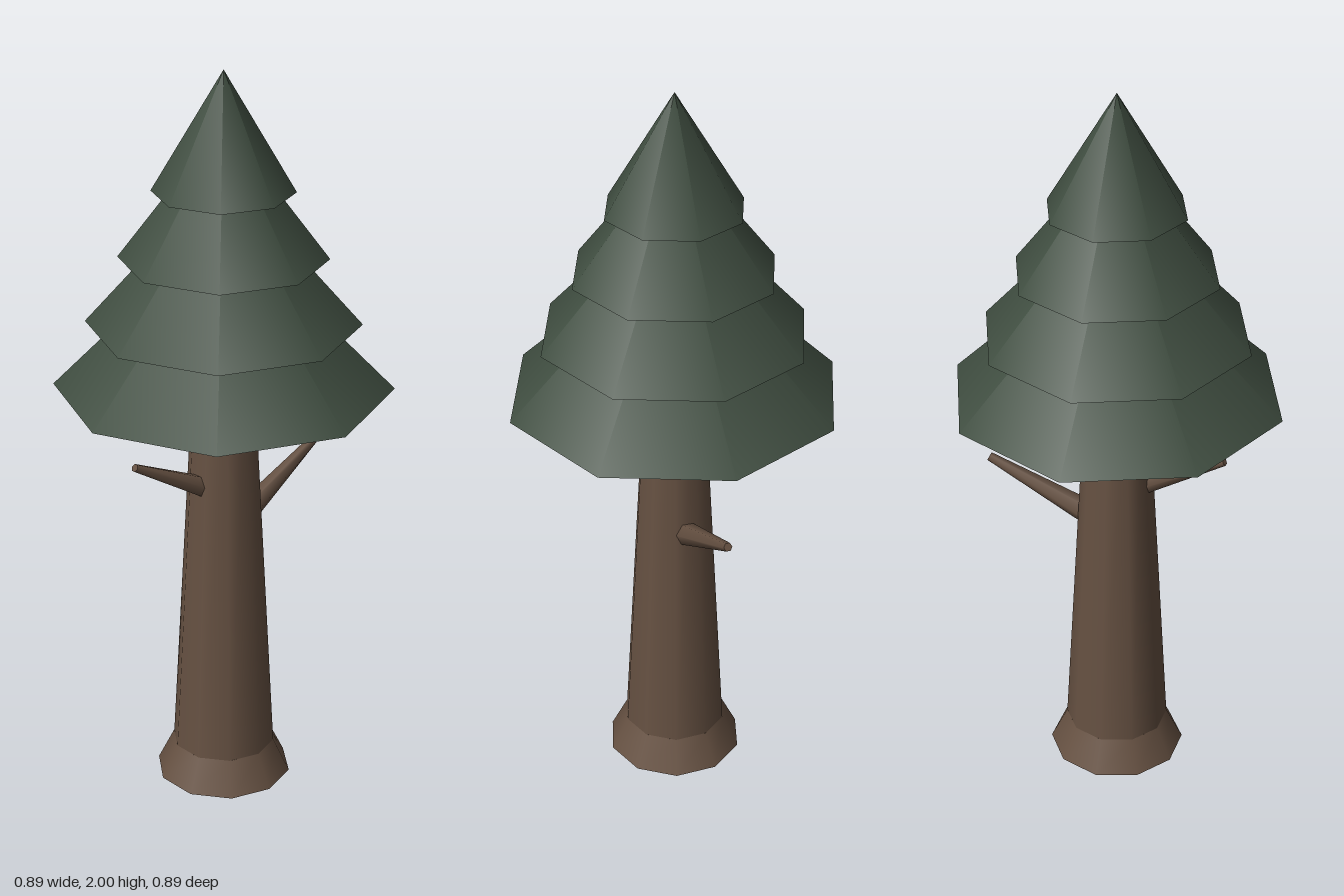
import * as THREE from 'three';

const bark = new THREE.MeshStandardMaterial({ name: 'bark brown', color: 0x665142 });
const needles = new THREE.MeshStandardMaterial({ name: 'needle green', color: 0x3f4d40 });

function addMesh(group, name, geometry, material) {
  const mesh = new THREE.Mesh(geometry, material);
  mesh.name = name;
  group.add(mesh);
  return mesh;
}

// Upright tapered cylinder standing on y
function addTaper(group, name, rTop, rBottom, y, height, sides, material) {
  const mesh = addMesh(group, name, new THREE.CylinderGeometry(rTop, rBottom, height, sides), material);
  mesh.position.y = y + height / 2;
}

// Tapered branch stub from one point to another
function addBranch(group, name, from, to, rFrom, rTo) {
  const a = new THREE.Vector3(...from);
  const dir = new THREE.Vector3(...to).sub(a);
  const mesh = addMesh(group, name, new THREE.CylinderGeometry(rTo, rFrom, dir.length(), 6), bark);
  mesh.position.copy(a).addScaledVector(dir, 0.5);
  mesh.quaternion.setFromUnitVectors(new THREE.Vector3(0, 1, 0), dir.normalize());
}

export function createModel() {
  const tree = new THREE.Group();
  tree.name = 'pineTree';

  // Trunk and flared foot
  addTaper(tree, 'trunk', 0.08, 0.146, 0, 1.22, 10, bark);
  addTaper(tree, 'rootFlare', 0.141, 0.186, 0, 0.093, 10, bark);

  // Bare branches
  addBranch(tree, 'leftBranch', [0.085, 0.758, 0], [0.358, 0.89, -0.015], 0.033, 0.012);
  addBranch(tree, 'rightBranch', [-0.075, 0.885, 0], [-0.3, 1.006, -0.012], 0.03, 0.011);

  // Four overlapping foliage tiers, narrowing upwards
  for (let i = 0; i < 4; i++) {
    const height = 0.45 - i * 0.045;
    const cone = addMesh(tree, `foliageTier${i + 1}`,
      new THREE.ConeGeometry(0.447 - i * 0.0873, height, 8), needles);
    cone.position.y = 1.152 + i * 0.1777 + height / 2;
  }
  return tree;
}
